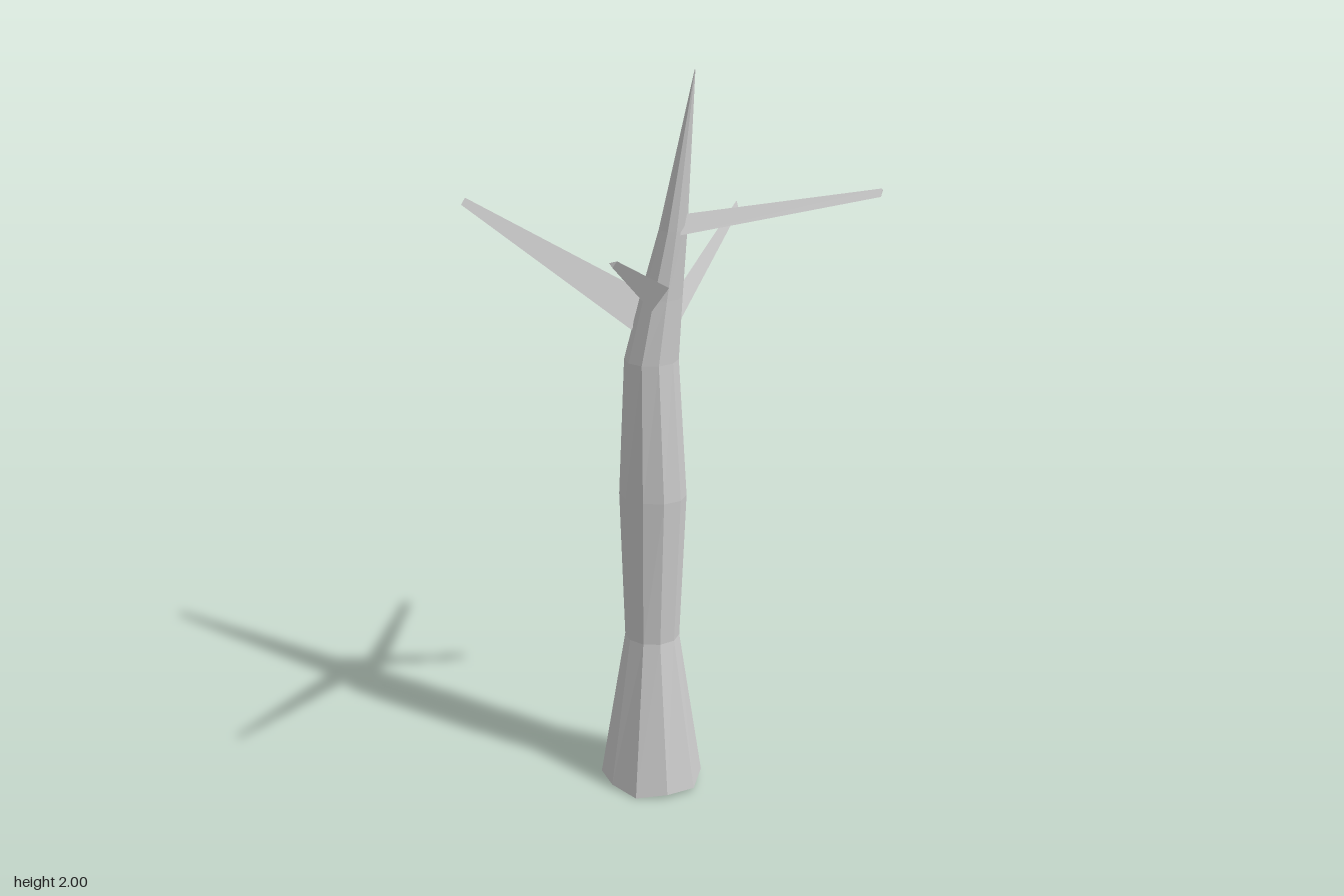
import * as THREE from 'three';
import { ConvexGeometry } from 'three/addons/geometries/ConvexGeometry.js';

const SIDES = 10;
const material = new THREE.MeshStandardMaterial({ color: 0xcccccc, flatShading: true, side: THREE.DoubleSide });

// Trunk rings from tip to root: [y, centre x, centre z, radius x, radius z]
const RINGS = [
  [2.0, 0.142, 0.005, 0.001, 0.001],
  [1.6, 0.087, 0.002, 0.036, 0.042],
  [1.42, 0.055, 0.0, 0.055, 0.061],
  [1.25, 0.03, 0.005, 0.072, 0.076],
  [0.87, 0.036, 0.008, 0.093, 0.08],
  [0.45, 0.035, 0.007, 0.076, 0.074],
  [0.015, 0.04, 0.018, 0.147, 0.138],
];

// Open tube whose rows follow the rings, with an uneven flared root
function createTrunk() {
  const geometry = new THREE.CylinderGeometry(1, 1, 1, SIDES, RINGS.length - 1, true);
  const pos = geometry.attributes.position;
  for (let i = 0; i < pos.count; i++) {
    const row = Math.floor(i / (SIDES + 1));
    const side = i % (SIDES + 1) % SIDES;
    const [y, cx, cz, rx, rz] = RINGS[row];
    const angle = (side / SIDES) * Math.PI * 2;
    const root = row === RINGS.length - 1;
    const flare = root ? 1 - 0.04 * (side % 2) : 1;
    const lift = root ? 0.012 * (1 - Math.cos(angle)) - 0.01 + 0.008 * (side % 2) : 0;
    pos.setXYZ(i, cx + Math.sin(angle) * rx * flare, y + lift, cz + Math.cos(angle) * rz * flare);
  }
  return new THREE.Mesh(geometry, material);
}

// Tapered three-sided branch from a base triangle to a small blunt tip
function createBranch({ base, tip, taper }) {
  const corners = base.map((p) => new THREE.Vector3(...p));
  const centre = new THREE.Vector3();
  corners.forEach((c) => centre.addScaledVector(c, 1 / 3));
  const end = new THREE.Vector3(...tip);
  const ends = corners.map((c) => c.clone().sub(centre).multiplyScalar(taper).add(end));
  return new THREE.Mesh(new ConvexGeometry([...corners, ...ends]), material);
}

const BRANCHES = {
  rightBranch: {
    base: [[0.01, 1.415, -0.03], [-0.015, 1.333, 0.036], [0.005, 1.335, -0.07]],
    tip: [-0.583, 1.6, -0.16], taper: 0.22,
  },
  leftBranch: {
    base: [[0.115, 1.64, 0.003], [0.115, 1.59, 0.028], [0.115, 1.622, -0.028]],
    tip: [0.583, 1.693, -0.186], taper: 0.4,
  },
  frontBranch: {
    base: [[0.01, 1.43, 0.04], [0.092, 1.455, 0.045], [0.05, 1.39, 0.055]],
    tip: [0.117, 1.618, 0.515], taper: 0.24,
  },
  backBranch: {
    base: [[0.072, 1.412, -0.048], [0.037, 1.342, -0.055], [0.09, 1.345, -0.052]],
    tip: [0.1, 1.567, -0.52], taper: 0.4,
  },
};

export function createModel() {
  const tree = new THREE.Group();
  tree.name = 'bareTree';
  const trunk = createTrunk();
  trunk.name = 'trunk';
  tree.add(trunk);
  for (const [name, spec] of Object.entries(BRANCHES)) {
    const branch = createBranch(spec);
    branch.name = name;
    tree.add(branch);
  }
  return tree;
}
